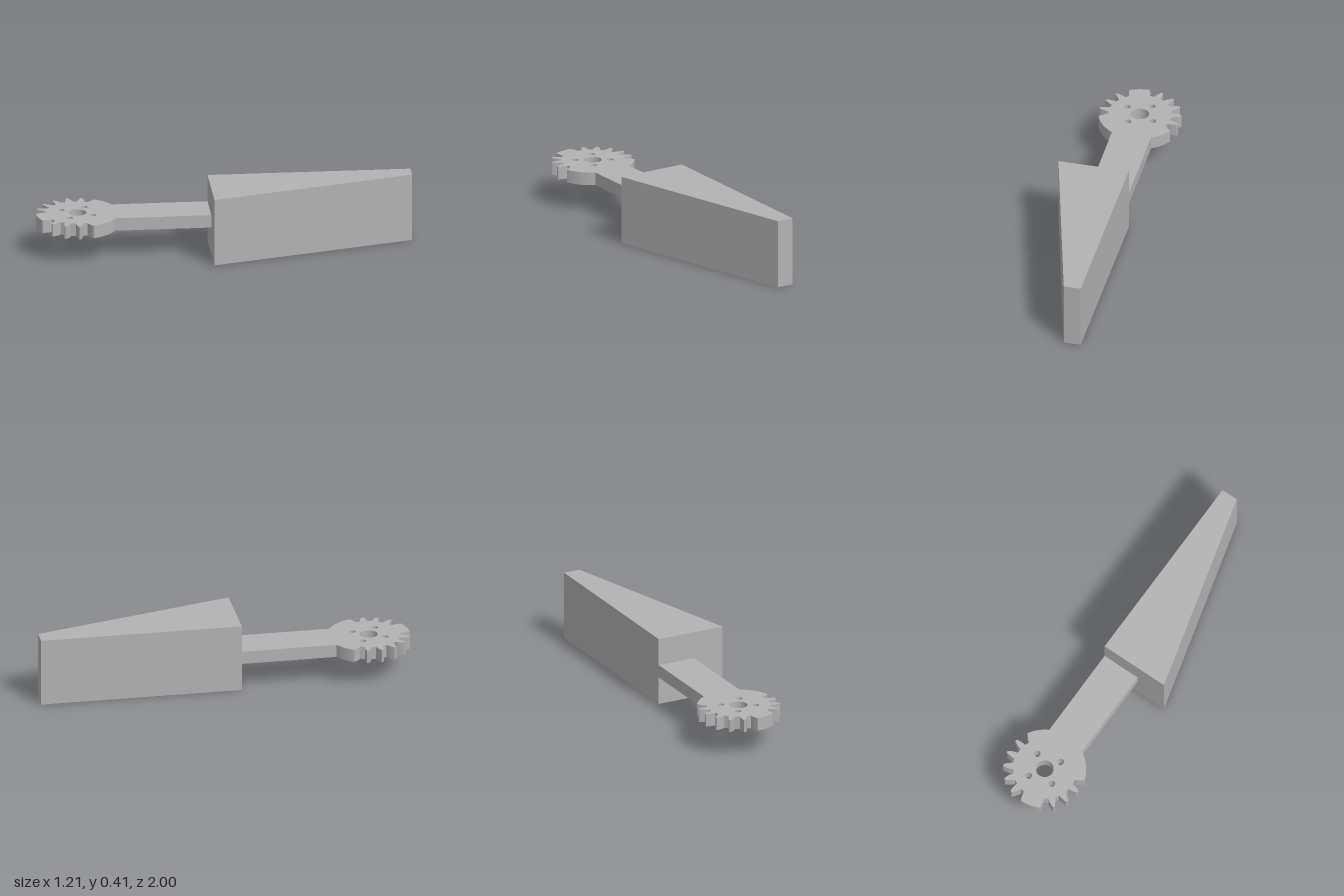
import * as THREE from 'three';

const GEAR = { x: -0.363, z: 0.757, outer: 0.242, root: 0.186 };
const PITCH = 20.6; // degrees between tooth gaps

// Point on the gear at an angle in degrees (shape y is -z)
function polar(deg, r) {
  const a = THREE.MathUtils.degToRad(deg);
  return new THREE.Vector2(GEAR.x + r * Math.cos(a), -GEAR.z + r * Math.sin(a));
}

// Extrude a plan outline upwards from y0 to y1
function slab(name, shape, y0, y1, material) {
  const geometry = new THREE.ExtrudeGeometry(shape, {
    depth: y1 - y0, bevelEnabled: false, curveSegments: 24,
  });
  geometry.rotateX(-Math.PI / 2);
  geometry.translate(0, y0, 0);
  const mesh = new THREE.Mesh(geometry, material);
  mesh.name = name;
  return mesh;
}

// Gear rim and arm as one outline, counterclockwise
function gearArmShape() {
  const points = [];
  const arc = (from, to) => {
    const n = Math.max(1, Math.ceil((to - from) / 4));
    for (let i = 0; i <= n; i++) points.push(polar(from + ((to - from) * i) / n, GEAR.outer));
  };
  // Six gaps on the outer side, four on the near side
  const gaps = [];
  for (let i = -2.5; i <= 2.5; i++) gaps.push(180 + i * PITCH);
  for (let i = 4; i >= 1; i--) gaps.push(360 - i * PITCH);

  let angle = 89;
  for (const g of gaps) {
    arc(angle, g - 9);
    // Rounded tooth flanks down to the root and back
    for (const [d, r] of [[-8, 0.235], [-6.3, 0.217], [-4.8, 0.2], [-4.2, GEAR.root],
      [4.2, GEAR.root], [4.8, 0.2], [6.3, 0.217], [8, 0.235]]) points.push(polar(g + d, r));
    angle = g + 9;
  }
  arc(angle, 360 + 31);
  // Far end of the arm
  points.push(new THREE.Vector2(0.123, -0.144), new THREE.Vector2(-0.08, -0.028));

  const shape = new THREE.Shape(points);
  const hole = (c, r) => shape.holes.push(new THREE.Path().absarc(c.x, c.y, r, 0, Math.PI * 2, true));
  hole(polar(0, 0), 0.052); // shaft hole
  for (let i = 0; i < 4; i++) hole(polar(30 + i * 90, 0.102), 0.019); // screw holes
  return shape;
}

export function createModel() {
  const group = new THREE.Group();
  group.name = 'gearedFlap';
  const grey = new THREE.MeshStandardMaterial({ color: 0xb3b3b3 });
  grey.name = 'plainGrey';

  // Tapered block
  const block = new THREE.Shape([
    new THREE.Vector2(-0.08, -0.028), new THREE.Vector2(0.286, -0.236),
    new THREE.Vector2(0.602, 0.95), new THREE.Vector2(0.514, 1.0),
  ]);
  group.add(slab('taperedBlock', block, 0, 0.406, grey));
  group.add(slab('gearAndArm', gearArmShape(), 0.166, 0.243, grey));
  return group;
}
